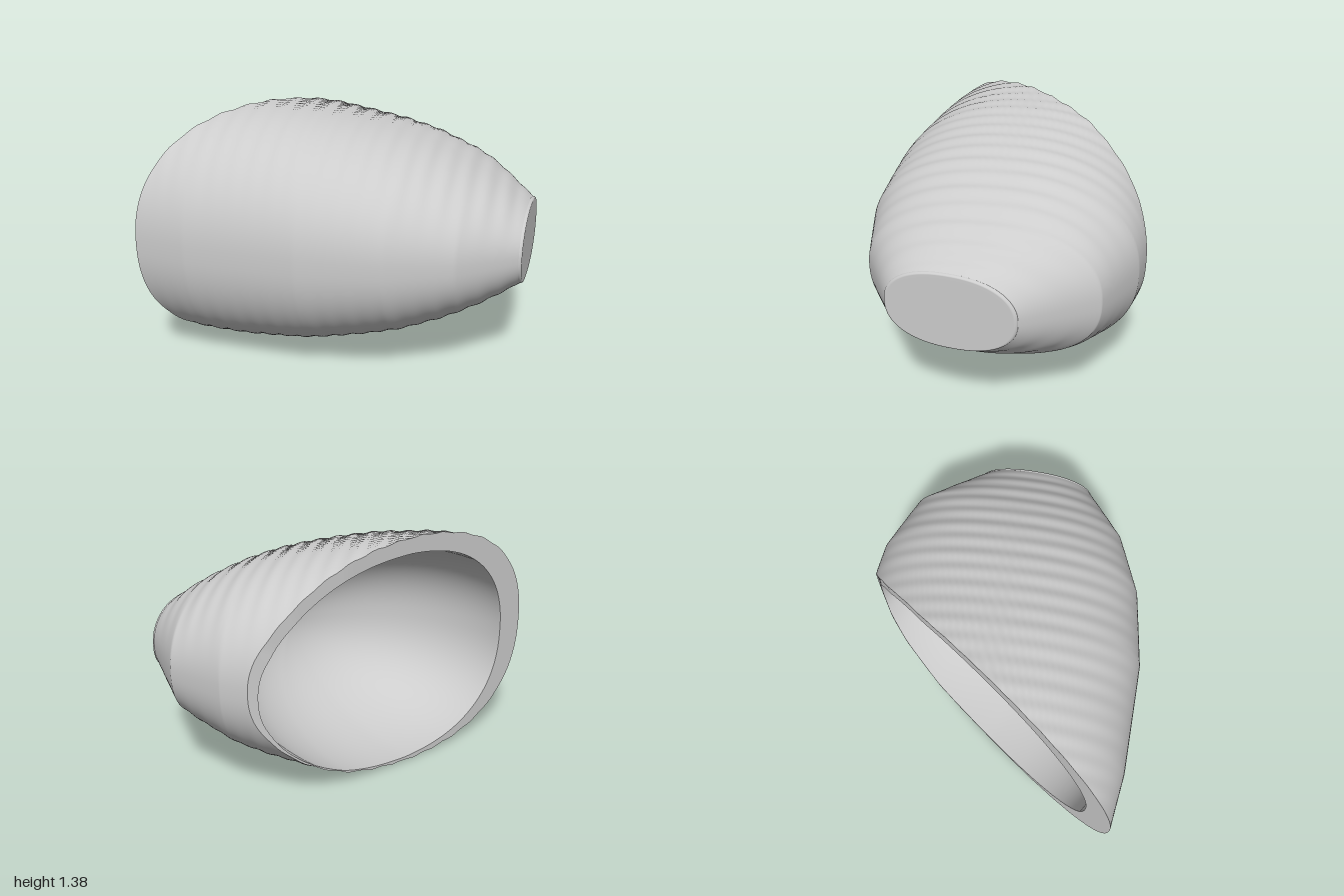
import * as THREE from 'three';

const SIDES = 144;
const MID_Y = 0.69;
const BODY_END = 0.985;

// piecewise-linear lookup through [position, value] keys (ascending)
function lookup(keys, p) {
  if (p <= keys[0][0]) return keys[0][1];
  for (let i = 1; i < keys.length; i++) {
    const [p0, v0] = keys[i - 1], [p1, v1] = keys[i];
    if (p <= p1) return v0 + (v1 - v0) * (p - p0) / (p1 - p0);
  }
  return keys[keys.length - 1][1];
}

// profile of the uncut body along x
const FRONT_Z = [[-1, 0.77], [-0.7, 0.803], [-0.08, 0.803], [0.36, 0.73], [0.7, 0.59], [1, 0.35]];
const BACK_Z = [[0.2, -0.81], [0.36, -0.8], [0.7, -0.68], [1, -0.32]];
const HALF_Y = [[-0.5, 0.685], [-0.2, 0.658], [0, 0.622], [0.2, 0.58], [0.4, 0.522],
  [0.6, 0.442], [0.8, 0.335], [0.9, 0.27], [1, 0.2]];
// slanted opening: x of the cut at each z
const CUT_X = [[-0.81, 0.2], [-0.74, 0.1], [-0.64, 0], [-0.39, -0.2], [0.19, -0.6], [0.77, -1]];

const power = (c) => Math.sign(c) * Math.pow(Math.abs(c), 2 / 2.3);

// point on the outer skin, with ribs of the given height
function skin(x, t, ribs) {
  const f = lookup(FRONT_Z, x), b = lookup(BACK_Z, x);
  const c = power(Math.cos(t)), s = power(Math.sin(t));
  const z = (f + b) / 2 + (f - b) / 2 * c;
  const fade = Math.min(1, (1 - x) / 0.08);
  const rib = ribs * fade * Math.abs(s) * Math.sin((x - 0.08 * z) * Math.PI * 2 / 0.105);
  return new THREE.Vector3(x, MID_Y + (lookup(HALF_Y, x) + rib) * s, z);
}

// where a lengthwise line meets the slanted opening
function rimPoint(t, ribs) {
  let x = -0.4;
  for (let i = 0; i < 30; i++) x = 0.5 * x + 0.5 * lookup(CUT_X, skin(x, t, ribs).z);
  return skin(x, t, ribs);
}

// smooth inner edge of the rim: thick at the pointed end, thin at the back
function mouthPoint(t) {
  const p = rimPoint(t, 0);
  const z = -0.08 + (p.z + 0.025) * 0.89;
  return new THREE.Vector3(lookup(CUT_X, z), 0.655 + (p.y - MID_Y) * 0.915, z);
}

// closed rings joined into a surface
function loft(rows, pointAt) {
  const pos = [], index = [];
  for (let r = 0; r <= rows; r++) {
    for (let i = 0; i < SIDES; i++) {
      pos.push(...pointAt(r / rows, i).toArray());
      if (r === rows) continue;
      const j = (i + 1) % SIDES, a = r * SIDES, b = a + SIDES;
      index.push(a + i, a + j, b + i, a + j, b + j, b + i);
    }
  }
  const g = new THREE.BufferGeometry();
  g.setAttribute('position', new THREE.Float32BufferAttribute(pos, 3));
  g.setIndex(index);
  g.computeVertexNormals();
  return g;
}

export function createModel() {
  const grey = new THREE.MeshStandardMaterial({ color: 0xcccccc });
  grey.name = 'plain grey';
  grey.side = THREE.DoubleSide;

  const group = new THREE.Group();
  group.name = 'hollowShell';
  const add = (name, geometry) => {
    const mesh = new THREE.Mesh(geometry, grey);
    mesh.name = name;
    group.add(mesh);
  };

  const RIBS = 0.005;
  const angle = (i) => i / SIDES * Math.PI * 2;
  const rim = [], mouth = [];
  for (let i = 0; i < SIDES; i++) {
    rim.push(rimPoint(angle(i), RIBS));
    mouth.push(mouthPoint(angle(i)));
  }

  // ribbed tapering body, from the small end to the slanted opening
  add('ribbedBody', loft(180, (v, i) =>
    skin(BODY_END + (rim[i].x - BODY_END) * v, angle(i), RIBS)));

  // small end: flat middle, then a rounded edge down to the body
  const capCentre = new THREE.Vector3(BODY_END, MID_Y, 0.015);
  add('endCap', loft(16, (v, i) => {
    const a = Math.max(0, v - 0.5) * Math.PI;
    const spread = v < 0.5 ? v * 1.9 : 0.95 + 0.05 * Math.sin(a);
    const p = capCentre.clone().lerp(skin(BODY_END, angle(i), RIBS), spread);
    p.x += (1 - BODY_END) * Math.cos(a);
    return p;
  }));

  // flat rim round the opening
  add('rim', loft(1, (v, i) => rim[i].clone().lerp(mouth[i], v)));

  // deep smooth hollow, square to the opening
  const centre = new THREE.Vector3(-0.42, 0.655, -0.08);
  const depth = new THREE.Vector3(0.38, 0.675, 0.4).sub(centre);
  add('hollow', loft(48, (v, i) => {
    const a = v * Math.PI / 2;
    return mouth[i].clone().sub(centre).multiplyScalar(Math.cos(a))
      .addScaledVector(depth, Math.sin(a)).add(centre);
  }));

  return group;
}
